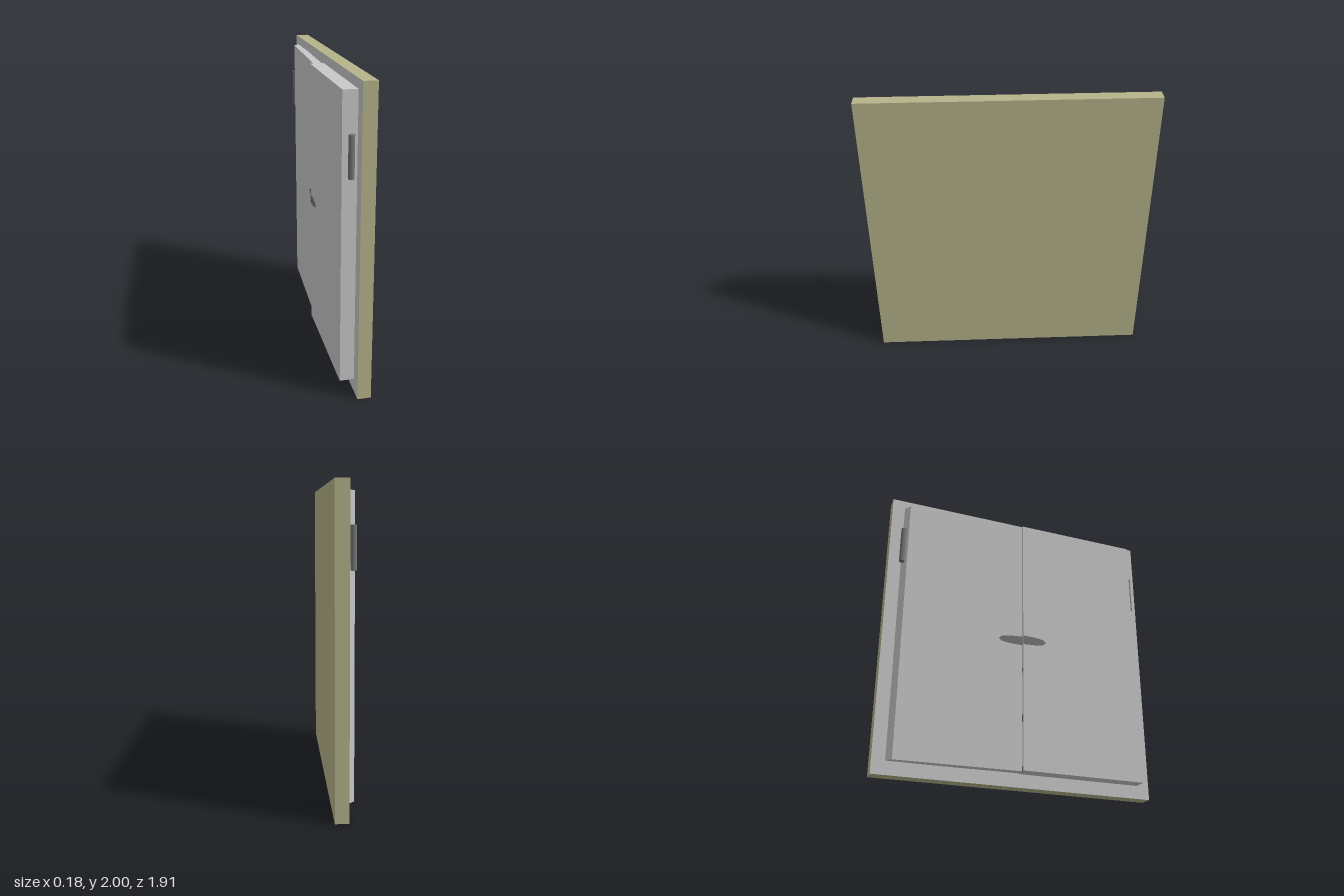
import * as THREE from 'three';

export function createModel() {
  const model = new THREE.Group();

  const mat = (name, color) => {
    const m = new THREE.MeshStandardMaterial({ color });
    m.name = name;
    return m;
  };
  const olive = mat('olive wall', 0xb5b38a);
  const grey = mat('light grey door', 0xc8c8c8);
  const dark = mat('dark grey fittings', 0x767676);

  const add = (name, geometry, material, x = 0, y = 0, z = 0) => {
    const mesh = new THREE.Mesh(geometry, material);
    mesh.name = name;
    mesh.position.set(x, y, z);
    model.add(mesh);
    return mesh;
  };

  // Wall slab, grey on the door side only
  add('wallPanel', new THREE.BoxGeometry(0.087, 2, 1.91),
    [olive, grey, olive, olive, olive, olive], 0.0455, 1, 0);

  // Doors: plan outlines given as [x, z], raised from bottom to top
  const bottom = 0.09, top = 1.94;
  const door = (name, plan) => {
    const shape = new THREE.Shape(plan.map(([x, z]) => new THREE.Vector2(x, -z)));
    const geo = new THREE.ExtrudeGeometry(shape, { depth: top - bottom, bevelEnabled: false });
    geo.rotateX(-Math.PI / 2);
    add(name, geo, grey, 0, bottom, 0);
  };
  door('thickDoor', [[-0.09, 0], [0.003, 0], [0.003, 0.865], [-0.09, 0.865]]);
  door('slantedDoor', [[-0.068, 0], [-0.013, 0], [0.012, -0.868], [0, -0.868], [-0.038, -0.835]]);

  // Hinge barrels at the outer door edges
  const barrel = new THREE.CylinderGeometry(0.019, 0.019, 0.26, 16);
  add('thickDoorHinge', barrel, dark, -0.038, 1.56, 0.884);
  add('slantedDoorHinge', barrel, dark, -0.027, 1.615, -0.868);

  // Flat handle, one half on each door
  const handleHalf = (name, side, x, tilt) => {
    const shape = new THREE.Shape([
      [0, -0.032], [0.09, -0.028], [0.145, -0.02], [0.168, 0],
      [0.145, 0.02], [0.09, 0.028], [0, 0.032],
    ].map(([u, v]) => new THREE.Vector2(side * u, v)));
    const geo = new THREE.ExtrudeGeometry(shape, { depth: 0.003, bevelEnabled: false });
    add(name, geo, dark, x, 1.01, 0).rotation.y = -Math.PI / 2 - tilt;
  };
  handleHalf('thickDoorHandle', 1, -0.09, 0);
  handleHalf('slantedDoorHandle', -1, -0.068, 0.036);

  // Small latch plates on the exposed edge of the thick door
  for (const [y, h] of [[0.79, 0.02], [0.445, 0.05], [0.105, 0.03]]) {
    add('latchPlate', new THREE.BoxGeometry(0.021, h, 0.004), dark, -0.079, y, -0.001);
  }

  return model;
}
